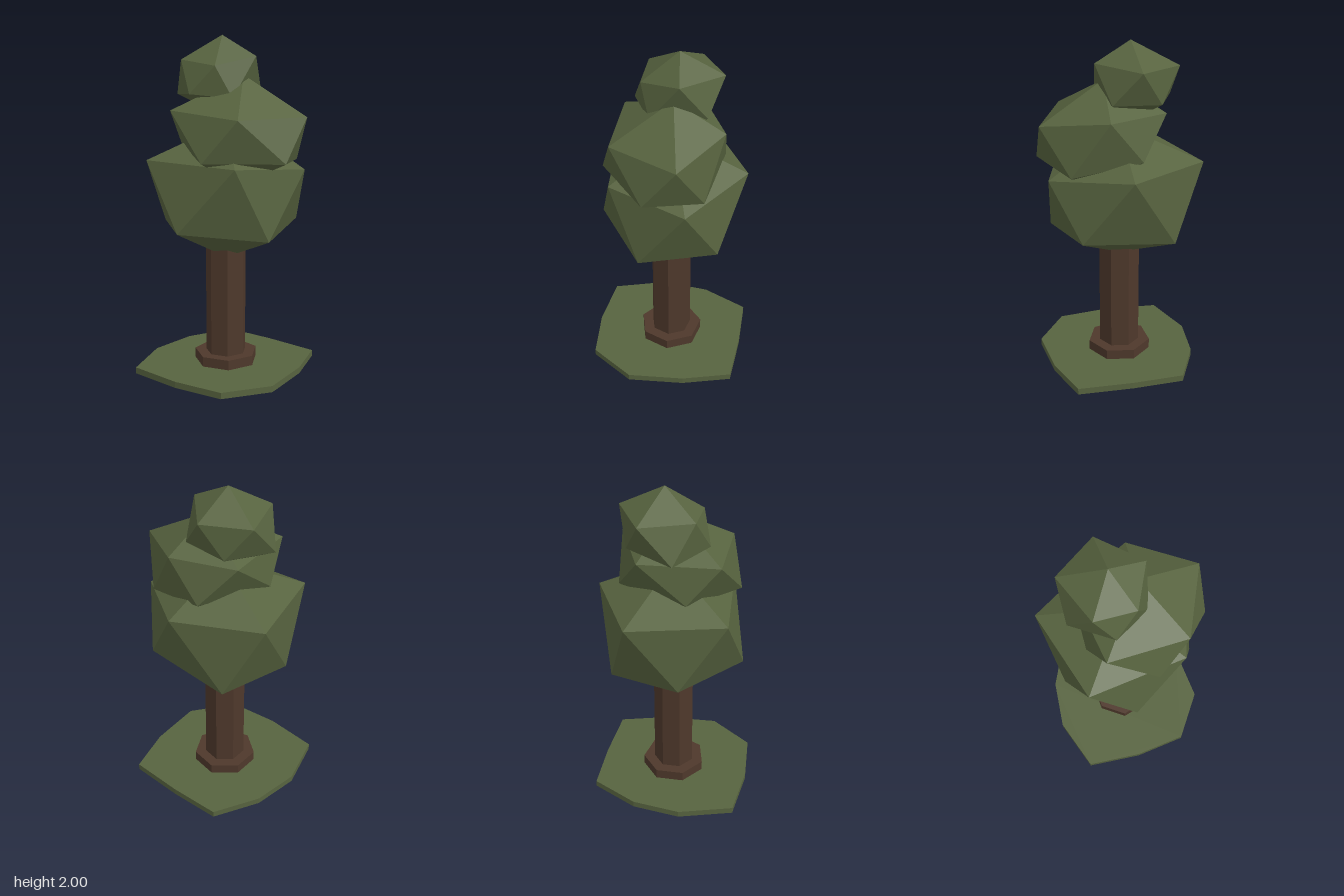
import * as THREE from 'three';

const foliage = new THREE.MeshStandardMaterial({ color: 0x57633f, flatShading: true });
foliage.name = 'foliage green';
const bark = new THREE.MeshStandardMaterial({ color: 0x4e382b, flatShading: true });
bark.name = 'bark brown';

// Irregular icosahedron: a top point, two staggered rings of five, a bottom point
function crown(name, top, upper, lower, bottom) {
  const corners = [];
  for (let i = 0; i < 5; i++) {
    const j = (i + 1) % 5;
    corners.push(top, upper[j], upper[i]);
    corners.push(upper[i], upper[j], lower[i]);
    corners.push(lower[i], upper[j], lower[j]);
    corners.push(bottom, lower[i], lower[j]);
  }
  const geometry = new THREE.BufferGeometry();
  geometry.setAttribute('position', new THREE.Float32BufferAttribute(corners.flat(), 3));
  geometry.computeVertexNormals();
  const mesh = new THREE.Mesh(geometry, foliage);
  mesh.name = name;
  return mesh;
}

// Seven-sided post with one corner pointing to the back
function post(name, radius, y0, y1) {
  const geometry = new THREE.CylinderGeometry(radius, radius, y1 - y0, 7);
  geometry.rotateY(Math.PI);
  const mesh = new THREE.Mesh(geometry, bark);
  mesh.position.set(-0.016, (y0 + y1) / 2, 0);
  mesh.name = name;
  return mesh;
}

export function createModel() {
  const tree = new THREE.Group();
  tree.name = 'tree';

  // Uneven ten-sided grass patch, outline in x and z
  const outline = [
    [0.445, -0.03], [0.385, 0.295], [0.145, 0.493], [-0.16, 0.443], [-0.468, 0.33],
    [-0.485, 0], [-0.38, -0.27], [-0.18, -0.497], [0.12, -0.425], [0.435, -0.325],
  ].map(([x, z]) => new THREE.Vector2(x, z));
  const patch = new THREE.ExtrudeGeometry(new THREE.Shape(outline), { depth: 0.038, bevelEnabled: false });
  patch.rotateX(Math.PI / 2).translate(0, 0.04, 0);
  const ground = new THREE.Mesh(patch, foliage);
  ground.name = 'grassPatch';
  tree.add(ground);

  // Trunk and its wider foot
  tree.add(post('trunkFoot', 0.19, 0, 0.1));
  tree.add(post('trunk', 0.122, 0.05, 0.85));

  // Three stacked leaf masses
  tree.add(crown('lowerCrown', [-0.01, 1.5, -0.01],
    [[0.455, 1.25, -0.035], [0.18, 1.3, 0.37], [-0.4, 1.3, 0.275], [-0.405, 1.3, -0.3], [0.12, 1.305, -0.43]],
    [[0.33, 0.867, 0.22], [-0.157, 0.91, 0.398], [-0.412, 0.885, 0], [-0.18, 0.86, -0.375], [0.345, 0.91, -0.235]],
    [-0.015, 0.69, 0]));
  tree.add(crown('middleCrown', [0.09, 1.78, -0.005],
    [[0.48, 1.56, 0.017], [0.193, 1.57, 0.36], [-0.26, 1.59, 0.245], [-0.2, 1.6, -0.22], [0.19, 1.615, -0.285]],
    [[0.418, 1.317, 0.2], [-0.01, 1.323, 0.392], [-0.277, 1.37, 0.05], [0, 1.37, -0.315], [0.37, 1.287, -0.15]],
    [0.07, 1.14, 0.03]));
  tree.add(crown('topCrown', [-0.06, 2, -0.053],
    [[0.157, 1.887, -0.03], [-0.018, 1.843, 0.167], [-0.252, 1.865, 0.103], [-0.285, 1.863, -0.213], [0, 1.872, -0.3]],
    [[0.075, 1.66, 0.13], [-0.165, 1.68, 0.192], [-0.337, 1.65, -0.03], [-0.14, 1.67, -0.27], [0.13, 1.68, -0.19]],
    [-0.08, 1.54, -0.05]));

  return tree;
}
